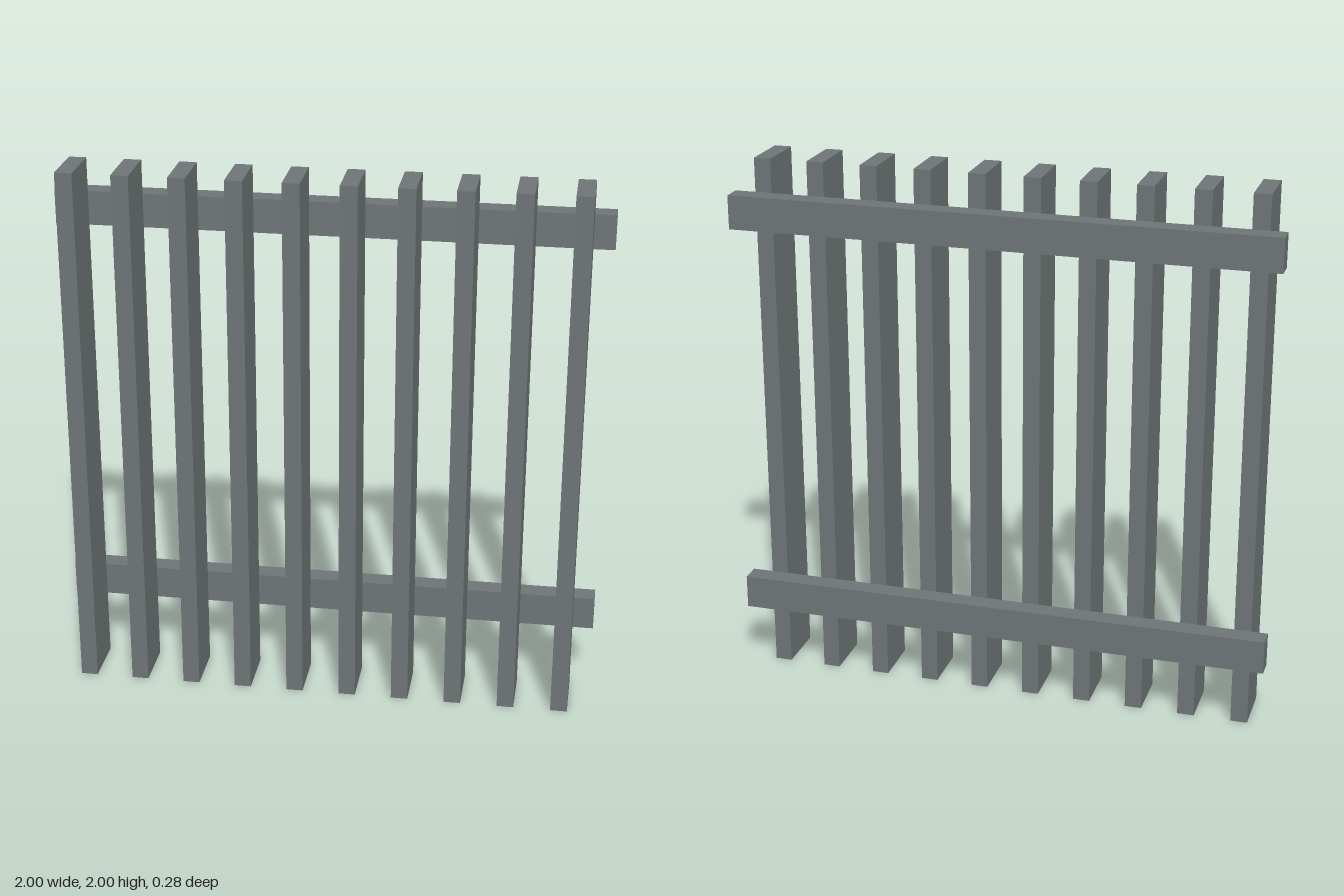
import * as THREE from 'three';

export function createModel() {
  const group = new THREE.Group();
  group.name = 'slattedFence';

  const greyPaint = new THREE.MeshStandardMaterial({ color: 0x6e7577 });
  greyPaint.name = 'slateGrey';

  const addBoard = (name, size, position) => {
    const mesh = new THREE.Mesh(new THREE.BoxGeometry(...size), greyPaint);
    mesh.name = name;
    mesh.position.set(...position);
    group.add(mesh);
  };

  // Upright slats, set edge-on to the front
  const slatCount = 10;
  for (let i = 0; i < slatCount; i++) {
    addBoard(`slat${i + 1}`, [0.0625, 2, 0.2], [-0.908 + i * 0.2, 1, 0.0375]);
  }

  // Horizontal rails across the back
  addBoard('lowerRail', [2, 0.125, 0.075], [0, 0.3125, -0.1]);
  addBoard('upperRail', [2, 0.125, 0.075], [0, 1.8125, -0.1]);

  return group;
}
